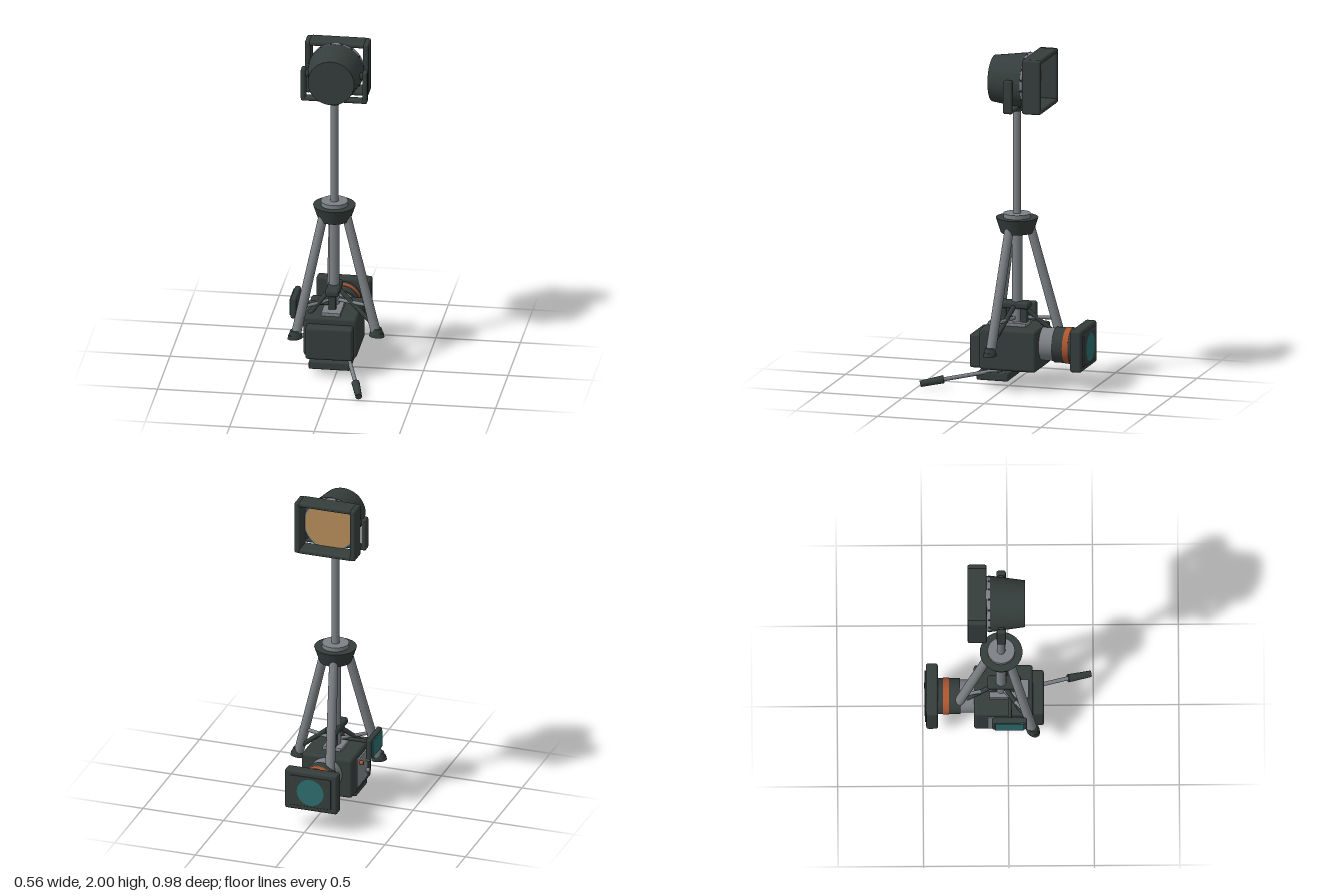
import * as THREE from 'three';
import { RoundedBoxGeometry } from 'three/addons/geometries/RoundedBoxGeometry.js';

const material = (name, color) => {
  const m = new THREE.MeshStandardMaterial({ color });
  m.name = name;
  return m;
};

export function createModel() {
  const dark = material('charcoal', 0x353e3c);
  const grey = material('metal grey', 0x7d8185);
  const orange = material('burnt orange', 0xb0552f);
  const teal = material('teal glass', 0x2c6c6e);
  const tan = material('warm lamp lens', 0xb58b59);

  const model = new THREE.Group();
  const CX = -0.033, CZ = -0.04; // stand axis
  const v = (x, y, z) => new THREE.Vector3(x, y, z);

  const add = (parent, name, geometry, mat, x = 0, y = 0, z = 0) => {
    const m = new THREE.Mesh(geometry, mat);
    m.name = name;
    m.position.set(x, y, z);
    parent.add(m);
    return m;
  };
  // rounded box given by its min and max on each axis
  const box = (parent, name, mat, [x0, x1], [y0, y1], [z0, z1], r = 0.012) =>
    add(parent, name, new RoundedBoxGeometry(x1 - x0, y1 - y0, z1 - z0, 3, r), mat,
      (x0 + x1) / 2, (y0 + y1) / 2, (z0 + z1) / 2);
  // tapered rod between two points
  const rod = (parent, name, mat, a, b, ra, rb = ra, sides = 24) => {
    const d = b.clone().sub(a);
    const m = add(parent, name, new THREE.CylinderGeometry(rb, ra, d.length(), sides), mat);
    m.position.copy(a).addScaledVector(d, 0.5);
    m.quaternion.setFromUnitVectors(v(0, 1, 0), d.normalize());
    return m;
  };
  const group = (name) => {
    const g = new THREE.Group();
    g.name = name;
    model.add(g);
    return g;
  };

  // Lamp head
  const lamp = group('lampHead');
  const LY = 1.835;
  rod(lamp, 'lampHousing', dark, v(CX, LY, -0.105), v(CX, LY, 0.1), 0.165, 0.137, 48);
  rod(lamp, 'lampRing', grey, v(CX, LY, -0.14), v(CX, LY, -0.1), 0.163, 0.163, 48);
  const lens = add(lamp, 'lampLens', new THREE.CircleGeometry(0.152, 48), tan, CX, LY, -0.143);
  lens.rotation.y = Math.PI;
  for (let i = 0; i < 16; i++) {
    const a = (i + 0.5) / 16 * Math.PI * 2;
    add(lamp, 'ringScrew', new THREE.SphereGeometry(0.006, 8, 6), dark,
      CX + Math.cos(a) * 0.163, LY + Math.sin(a) * 0.163, -0.112);
  }
  for (const s of [-1, 1]) {
    const span = (c, lo, hi) => (s > 0 ? [c + lo, c + hi] : [c - hi, c - lo]);
    box(lamp, 'frameSide', dark, span(CX, 0.154, 0.189), [1.672, 1.998], [-0.237, -0.125]);
    box(lamp, 'frameBar', dark, [CX - 0.165, CX + 0.165], span(LY, 0.135, 0.165), [-0.237, -0.125]);
    box(lamp, 'yokeArm', dark, span(CX, 0.168, 0.197), [1.67, 1.87], [-0.067, -0.012]);
    rod(lamp, 'yokePivot', dark, v(CX + s * 0.14, LY, CZ), v(CX + s * 0.175, LY, CZ), 0.02);
  }
  box(lamp, 'yokeBase', dark, [CX - 0.195, CX + 0.195], [1.668, 1.69], [-0.067, -0.012], 0.008);
  rod(lamp, 'yokeCollar', dark, v(CX, 1.65, CZ), v(CX, 1.68, CZ), 0.033);

  // Stand column and hub
  const stand = group('lightStand');
  rod(stand, 'upperPole', grey, v(CX, 1.0, CZ), v(CX, 1.66, CZ), 0.024);
  rod(stand, 'lowerPole', grey, v(CX, 0.37, CZ), v(CX, 0.95, CZ), 0.031);
  rod(stand, 'hub', dark, v(CX, 0.92, CZ), v(CX, 1.01, CZ), 0.095, 0.125, 32);
  rod(stand, 'hubCap', grey, v(CX, 1.0, CZ), v(CX, 1.035, CZ), 0.08, 0.08, 32);

  // Three legs with feet, struts and braces
  for (const deg of [18, 138, 258]) {
    const a = deg * Math.PI / 180;
    const at = (r, y) => v(CX + Math.cos(a) * r, y, CZ + Math.sin(a) * r);
    rod(stand, 'leg', grey, at(0.27, 0.25), at(0.08, 0.95), 0.029, 0.027);
    rod(stand, 'strut', grey, at(0.02, 0.41), at(0.23, 0.41), 0.011, 0.011, 12);
    rod(stand, 'brace', dark, at(0.03, 0.48), at(0.27, 0.28), 0.014, 0.014, 12);
    const foot = new THREE.Group();
    foot.name = 'foot';
    foot.position.copy(at(0.277, 0));
    foot.rotation.y = -a;
    stand.add(foot);
    const pad = add(foot, 'footPad', new THREE.CylinderGeometry(0.042, 0.047, 0.024, 24), dark, 0, 0.237, 0);
    pad.scale.z = 0.75;
    add(foot, 'footSocket', new THREE.CylinderGeometry(0.028, 0.038, 0.035, 24), dark, 0, 0.258, 0);
  }

  // Camera body and top handle
  const camera = group('camera');
  box(camera, 'body', dark, [-0.19, 0.125], [0.115, 0.365], [-0.2, 0.145], 0.018);
  box(camera, 'frontPack', dark, [-0.17, 0.108], [0.12, 0.322], [0.13, 0.21], 0.015);
  box(camera, 'topPlate', grey, [-0.09, 0.025], [0.355, 0.385], [-0.11, 0.122], 0.005);
  box(camera, 'handleGrip', dark, [-0.073, 0.008], [0.465, 0.508], [-0.12, 0.075], 0.015);
  for (const z of [-0.085, 0.045])
    box(camera, 'handlePost', dark, [-0.055, -0.01], [0.37, 0.48], [z - 0.02, z + 0.02], 0.008);

  // Control panel on the side
  box(camera, 'sidePanel', grey, [-0.198, -0.18], [0.15, 0.33], [-0.12, 0.07], 0.004);
  rod(camera, 'recordButton', orange, v(-0.19, 0.3, -0.078), v(-0.22, 0.3, -0.078), 0.012);
  for (const y of [0.2, 0.27])
    rod(camera, 'knob', grey, v(-0.19, y, 0.04), v(-0.22, y, 0.04), 0.013);

  // Lens barrel, hood and glass, along -z
  const LX = -0.033, CY = 0.26;
  const barrel = [
    ['lensMount', grey, -0.19, -0.285, 0.097],
    ['focusRing', dark, -0.28, -0.348, 0.105],
    ['accentRing', orange, -0.346, -0.38, 0.108],
    ['frontBarrel', dark, -0.379, -0.42, 0.106],
  ];
  for (const [name, mat, z0, z1, r] of barrel)
    rod(camera, name, mat, v(LX, CY, z0), v(LX, CY, z1), r, r, 40);
  box(camera, 'lensHood', dark, [-0.195, 0.13], [0.135, 0.386], [-0.48, -0.41], 0.015);
  box(camera, 'hoodPlate', dark, [-0.16, 0.095], [0.165, 0.355], [-0.488, -0.47], 0.005);
  const glass = add(camera, 'lensGlass', new THREE.CircleGeometry(0.083, 40), teal, LX, CY, -0.49);
  glass.rotation.y = Math.PI;

  // Side monitor
  const monitor = group('monitor');
  box(monitor, 'monitorBody', dark, [-0.272, -0.238], [0.33, 0.46], [-0.095, 0.11], 0.012);
  box(monitor, 'monitorScreen', teal, [-0.28, -0.271], [0.345, 0.445], [-0.077, 0.092], 0.002);
  rod(monitor, 'monitorArm', dark, v(-0.245, 0.4, 0.01), v(-0.03, 0.4, 0.01), 0.011, 0.011, 12);

  // Base plate and pan handle
  const base = group('panBase');
  box(base, 'basePlate', dark, [-0.155, 0.09], [0.045, 0.094], [-0.02, 0.172], 0.008);
  rod(base, 'baseNeck', grey, v(CX, 0.085, 0.07), v(CX, 0.12, 0.07), 0.05);
  rod(base, 'panRod', grey, v(0.05, 0.108, 0.03), v(0.153, 0.048, 0.36), 0.012, 0.012, 16);
  rod(base, 'panGrip', dark, v(0.15, 0.05, 0.352), v(0.188, 0.021, 0.485), 0.024, 0.019, 20);
  return model;
}
